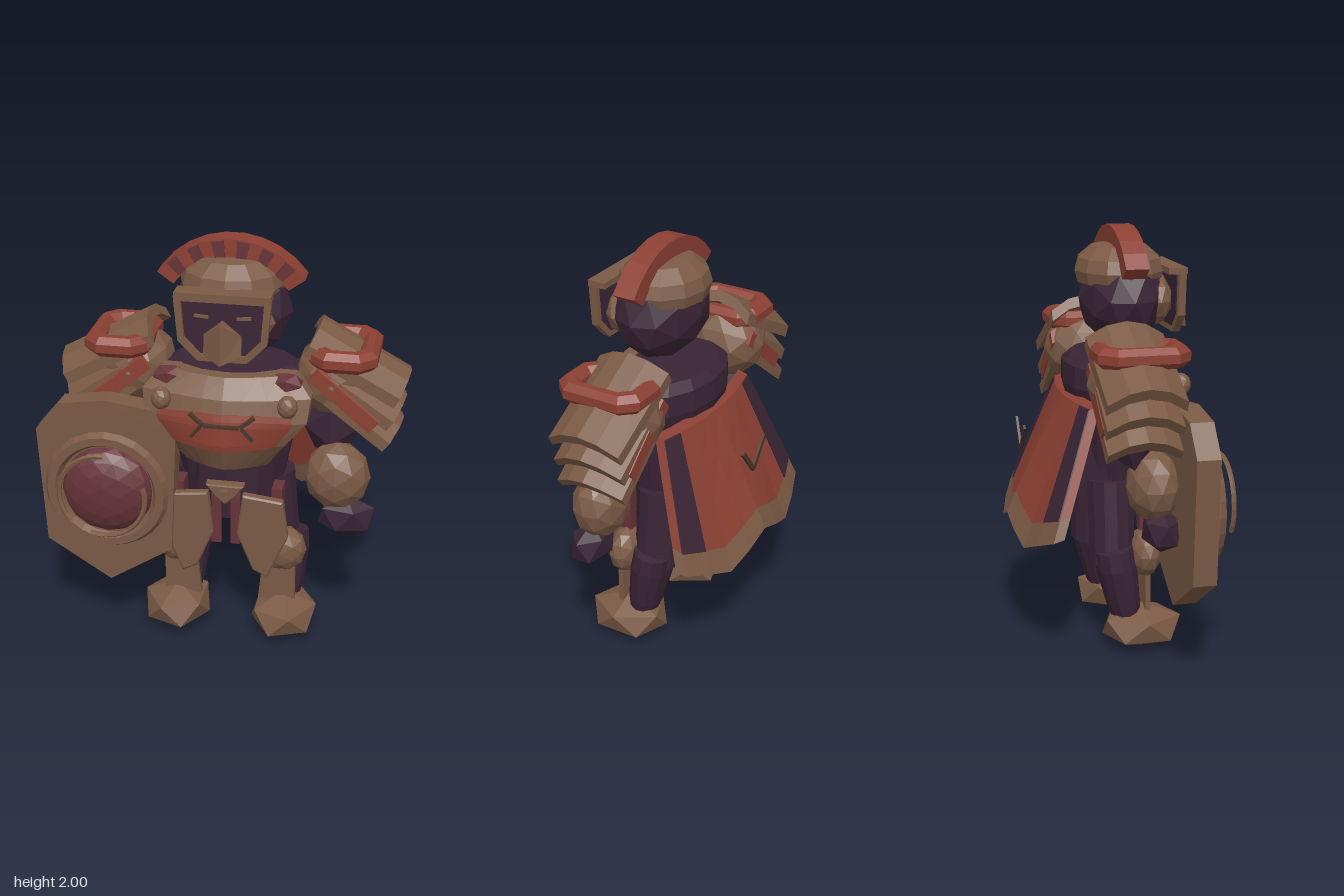
import * as THREE from 'three';

const V = (x, y) => new THREE.Vector2(x, y);
const lerp = THREE.MathUtils.lerp;

// box whose vertices are moved by fn(t: -1..1, v: 0 top..1 bottom, o: 0 back..1 front)
function warpBox(fn, nx, ny) {
  const g = new THREE.BoxGeometry(2, 1, 1, nx, ny, 1);
  const p = g.attributes.position;
  for (let i = 0; i < p.count; i++) p.setXYZ(i, ...fn(p.getX(i), 0.5 - p.getY(i), p.getZ(i) + 0.5));
  return g;
}

function plate(points, depth, hole, bevel = 0) {
  const s = new THREE.Shape(points.map(p => V(...p)));
  if (hole) s.holes.push(new THREE.Path(hole.map(p => V(...p))));
  return new THREE.ExtrudeGeometry(s, {
    depth, bevelEnabled: bevel > 0, bevelSize: bevel, bevelThickness: bevel, bevelSegments: 1, curveSegments: 4
  });
}

// slab arched across its width
function arched(len, halfZ, thick) {
  const g = new THREE.BoxGeometry(len, thick, halfZ * 2, 1, 1, 4), p = g.attributes.position;
  for (let i = 0; i < p.count; i++) p.setY(i, p.getY(i) - 0.08 * (p.getZ(i) / halfZ) ** 2);
  return g;
}

const octagon = (a, b, c) => [[a, b - c], [a - c, b], [c - a, b], [-a, b - c], [-a, c - b], [c - a, -b], [a - c, -b], [a, c - b]];
const box = (x, y, z) => new THREE.BoxGeometry(x, y, z);
const ball = d => new THREE.IcosahedronGeometry(1, d);
const lathe = (pts, n) => new THREE.LatheGeometry(pts.map(p => V(...p)), n);

// breastplate profile rows: y, half width, depth at the middle
const CHEST = [[1.40, 0.31, 0.31], [1.31, 0.388, 0.365], [1.20, 0.375, 0.395], [1.08, 0.275, 0.395], [0.95, 0.19, 0.335]];
const bulge = (t, zc) => zc - 0.09 * Math.abs(t) ** 1.5;
function chestZ(x, y) {
  let i = 0;
  while (i < 3 && y < CHEST[i + 1][0]) i++;
  const [a, b] = [CHEST[i], CHEST[i + 1]], k = (a[0] - y) / (a[0] - b[0]);
  return bulge(x / lerp(a[1], b[1], k), lerp(a[2], b[2], k));
}

// point on the cape surface, with a notched lower edge
function cape(t, v, off) {
  const bottom = 0.64 - 0.1 * (1 - Math.abs(2 * Math.abs(t) - 1));
  return [t * lerp(0.385, 0.545, v), lerp(1.21, bottom, v) + off * 0.3,
    lerp(-0.13, -0.335, v) - lerp(0.05, 0.115, v) * (1 - t * t) + off];
}
const capePiece = (t0, t1, v0, v1, o0, o1, nx) => warpBox((t, v, o) =>
  cape(lerp(t0, t1, (t + 1) / 2), lerp(v0, v1, v), lerp(o0, o1, o)), nx, 3);

export function createModel() {
  const root = new THREE.Group();
  root.name = 'armouredWarrior';
  const body = new THREE.Group();
  body.name = 'body';
  body.position.x = 0.037;
  root.add(body);

  const mat = (name, color) => {
    const m = new THREE.MeshStandardMaterial({ color });
    m.name = name;
    return m;
  };
  const tan = mat('bronze', 0x7b5a45), red = mat('red', 0x8c4033), purple = mat('darkPurple', 0x3a2435);
  const maroon = mat('maroon', 0x663338), brown = mat('darkBrown', 0x4a3629);

  // places a faceted part; mirrored parts get their corners reordered
  function add(name, geo, m, pos = [0, 0, 0], scale = [1, 1, 1], rot = [0, 0, 0], mirror = false) {
    const g = geo.index ? geo.toNonIndexed() : geo.clone();
    g.applyMatrix4(new THREE.Matrix4().compose(new THREE.Vector3(...pos),
      new THREE.Quaternion().setFromEuler(new THREE.Euler(...rot)), new THREE.Vector3(...scale)));
    if (mirror) {
      const p = g.attributes.position;
      for (let i = 0; i < p.count; i += 3) {
        const a = [0, 2, 1].map(k => [-p.getX(i + k), p.getY(i + k), p.getZ(i + k)]);
        a.forEach((c, k) => p.setXYZ(i + k, ...c));
      }
    }
    g.computeVertexNormals();
    const mesh = new THREE.Mesh(g, m);
    mesh.name = name;
    body.add(mesh);
  }
  const pair = (name, geo, m, pos, scale, rot) => {
    add('left' + name, geo, m, pos, scale, rot);
    add('right' + name, geo, m, pos, scale, rot, true);
  };

  // torso and hips
  add('torso', lathe([[0, 0.82], [0.25, 0.82], [0.285, 1.0], [0.32, 1.18], [0.35, 1.26], [0.345, 1.36], [0.28, 1.4], [0, 1.41]], 14),
    purple, [0, 0, 0.06], [1, 1, 0.66]);
  add('hips', lathe([[0, 0.65], [0.23, 0.65], [0.235, 0.8], [0.24, 1.05], [0, 1.05]], 10), purple, [0, 0, 0.045], [1, 1, 0.9]);

  // breastplate with red panel, braces and studs
  add('breastplate', warpBox((t, v, o) => {
    const [y, w, zc] = CHEST[Math.round(v * 4)];
    return [t * w, y, o > 0.5 ? bulge(t, zc) : 0.16];
  }, 8, 4), tan);
  add('chestPanel', warpBox((t, v, o) => {
    const x = t * (v < 0.3 ? 0.31 : lerp(0.31, 0.235, (v - 0.3) / 0.7));
    const y = lerp(1.25 - 0.03 * Math.max(0, Math.abs(t) - 0.4), 1.085 - 0.02 * (1 - Math.abs(t)), v);
    return [x, y, chestZ(x, y) + 0.004 + 0.005 * o];
  }, 16, 6), red);
  add('chestBar', box(0.16, 0.014, 0.03), brown, [0, 1.2, 0.4]);
  pair('ChestBrace', box(0.08, 0.014, 0.03), brown, [0.115, 1.222, 0.385], [1, 1, 1], [0, 0.3, 0.6]);
  pair('ChestLowerBrace', box(0.08, 0.014, 0.03), brown, [0.115, 1.165, 0.39], [1, 1, 1], [0, 0.3, -0.9]);
  pair('ChestStud', ball(1), tan, [0.29, 1.285, 0.325], [0.048, 0.055, 0.048]);
  pair('CollarGem', ball(0), maroon, [0.27, 1.365, 0.235], [0.085, 0.05, 0.06]);

  // hanging belt plates
  add('beltClasp', plate([[-0.08, 0.85], [-0.04, 0.8], [0, 0.765], [0.04, 0.8], [0.08, 0.85]], 0.05, null, 0.008), tan, [0, 0, 0.26]);
  add('claspStud', new THREE.CylinderGeometry(0.025, 0.025, 0.03, 8), tan, [0, 0.815, 0.325], [1, 1, 1], [Math.PI / 2, 0, 0]);
  pair('Tasset', plate([[0.09, 0.8], [0.065, 0.6], [0.14, 0.42], [0.2, 0.39], [0.29, 0.6], [0.265, 0.78]], 0.035, null, 0.008), tan, [0, 0, 0.27]);
  pair('InnerStrip', box(0.045, 0.26, 0.03), maroon, [0.045, 0.665, 0.27]);
  pair('SideStrip', box(0.05, 0.24, 0.1), maroon, [0.235, 0.7, 0.19]);

  // legs
  pair('Thigh', new THREE.CylinderGeometry(0.12, 0.115, 0.4, 12), purple, [0.19, 0.62, 0.02], [1, 1, 0.95], [0, 0, 0.1]);
  pair('Calf', lathe([[0, 0.16], [0.085, 0.16], [0.1, 0.22], [0.125, 0.42], [0.118, 0.51], [0, 0.52]], 12), purple,
    [0.245, 0, 0.11], [1, 1, 0.8], [-0.19, 0, 0]);
  pair('Knee', ball(1), tan, [0.255, 0.47, 0.165], [0.118, 0.12, 0.078]);
  pair('ShinGuard', plate([[0.16, 0.37], [0.14, 0.18], [0.32, 0.18], [0.32, 0.37]], 0.025), tan, [0, 0, 0.155]);
  pair('Foot', ball(0).rotateZ(-0.5536), tan, [0.265, 0.11, 0.15], [0.178, 0.11, 0.212]);

  // arms
  pair('Shoulder', ball(1), tan, [0.47, 1.34, 0.03], [0.19, 0.19, 0.195]);
  pair('UpperArm', ball(0), purple, [0.465, 1.1, 0.04], [0.15, 0.17, 0.11]);
  pair('Forearm', ball(1), tan, [0.505, 0.87, 0.137], [0.157, 0.17, 0.128]);
  pair('Hand', ball(0).rotateZ(-0.5536), purple, [0.555, 0.675, 0.16], [0.148, 0.108, 0.094]);

  // layered shoulder armour
  [[0.6, 1.475, 0.47, 0.18, -0.5], [0.635, 1.345, 0.37, 0.175, -0.6], [0.64, 1.235, 0.35, 0.17, -0.66]].forEach(([x, y, len, w, r], i) =>
    pair('ShoulderPlate' + (i + 1), arched(len, w, 0.055), tan, [x, y, 0.035], [1, 1, 1], [0, 0, r]));
  pair('ShoulderLining', arched(0.37, 0.182, 0.07), red, [0.58, 1.345, 0.038], [1, 1, 1], [0, 0, -0.7]);
  pair('ShoulderBand', plate(octagon(0.126, 0.183, 0.055), 0.04, octagon(0.095, 0.15, 0.045), 0.028), red,
    [0.52, 1.462, 0.065], [1, 1, 1], [-Math.PI / 2, 0, 0]);

  // head, helmet and crest
  add('head', ball(1), purple, [0, 1.665, 0.11], [0.28, 0.235, 0.203]);
  add('helmet', lathe([[0, 1.72], [0.225, 1.735], [0.24, 1.79], [0.222, 1.85], [0.15, 1.905], [0, 1.925]], 12), tan, [0, 0, 0.1], [1, 1, 0.88]);
  const arc = (r, a) => [r * Math.sin(a), 1.585 + r * Math.cos(a)];
  const sector = (a0, a1, n, r0, r1) => {
    const up = [], down = [];
    for (let i = 0; i <= n; i++) {
      down.push(arc(r1, lerp(a1, a0, i / n)));
      up.push(arc(r0, lerp(a0, a1, i / n)));
    }
    return [...down, ...up];
  };
  add('crest', plate(sector(-0.94, 0.94, 9, 0.325, 0.415), 0.11), red, [0, 0, 0.05]);
  for (let i = 0; i < 6; i++) {
    const a = -0.72 + i * 0.288;
    add('crestStripe' + (i + 1), plate(sector(a - 0.07, a + 0.07, 1, 0.33, 0.408), 0.006), maroon, [0, 0, 0.158]);
  }

  // face guard
  add('cheeks', ball(1), tan, [0, 1.655, 0.25], [0.22, 0.138, 0.095]);
  const rim = [[-0.218, 1.8], [-0.2, 1.59], [-0.11, 1.5], [0.11, 1.5], [0.2, 1.59], [0.218, 1.8]];
  const inner = [[-0.185, 1.775], [-0.172, 1.605], [-0.1, 1.53], [0.1, 1.53], [0.172, 1.605], [0.185, 1.775]];
  add('faceFrame', plate(rim, 0.035, inner), tan, [0, 0, 0.335]);
  add('facePanel', plate(inner, 0.02), purple, [0, 0, 0.33]);
  add('browBar', box(0.43, 0.03, 0.09), tan, [0, 1.8, 0.33]);
  add('noseGuard', warpBox((t, v, o) => [0.085 * t,
    lerp(1.69 - 0.07 * Math.abs(t), 1.505 + 0.025 * Math.abs(t), v),
    o < 0.5 ? 0.345 : lerp(0.35, 0.37, v) + 0.065 * (1 - Math.abs(t))], 2, 1), tan);
  pair('Eye', box(0.065, 0.014, 0.008), tan, [0.095, 1.705, 0.353], [1, 1, 1], [0, 0, 0.08]);

  // cape with trim and clasp
  add('capeCentre', capePiece(-1, 1, 0, 0.83, 0, 0.05, 8), red);
  add('capeTrim', capePiece(-1, 1, 0.83, 1, 0, 0.05, 8), tan);
  pair('CapeSide', capePiece(0.75, 1, 0, 0.83, -0.007, 0, 1), purple);
  pair('CapeClasp', box(0.17, 0.022, 0.012), brown, [0.05, 1.01, -0.378], [1, 1, 1], [0, 0, 0.9]);

  // shield
  const sx = -0.557;
  add('shield', plate([[-0.335, 1.08], [-0.305, 0.5], [0, 0.305], [0.305, 0.5], [0.33, 1.08], [0.22, 1.22], [0, 1.25], [-0.22, 1.22]], 0.11), tan, [sx, 0, 0.22]);
  add('shieldRing', new THREE.TorusGeometry(0.262, 0.037, 6, 24), tan, [sx, 0.8, 0.345]);
  add('shieldBoss', ball(2), maroon, [sx, 0.795, 0.325], [0.22, 0.22, 0.095]);
  [1.5, 4.4].forEach((a, i) => add('shieldArc' + (i + 1), new THREE.TorusGeometry(0.205, 0.012, 5, 12, 2.2), tan,
    [sx, 0.81, 0.435], [1, 1, 1], [0, 0, a]));

  return root;
}
